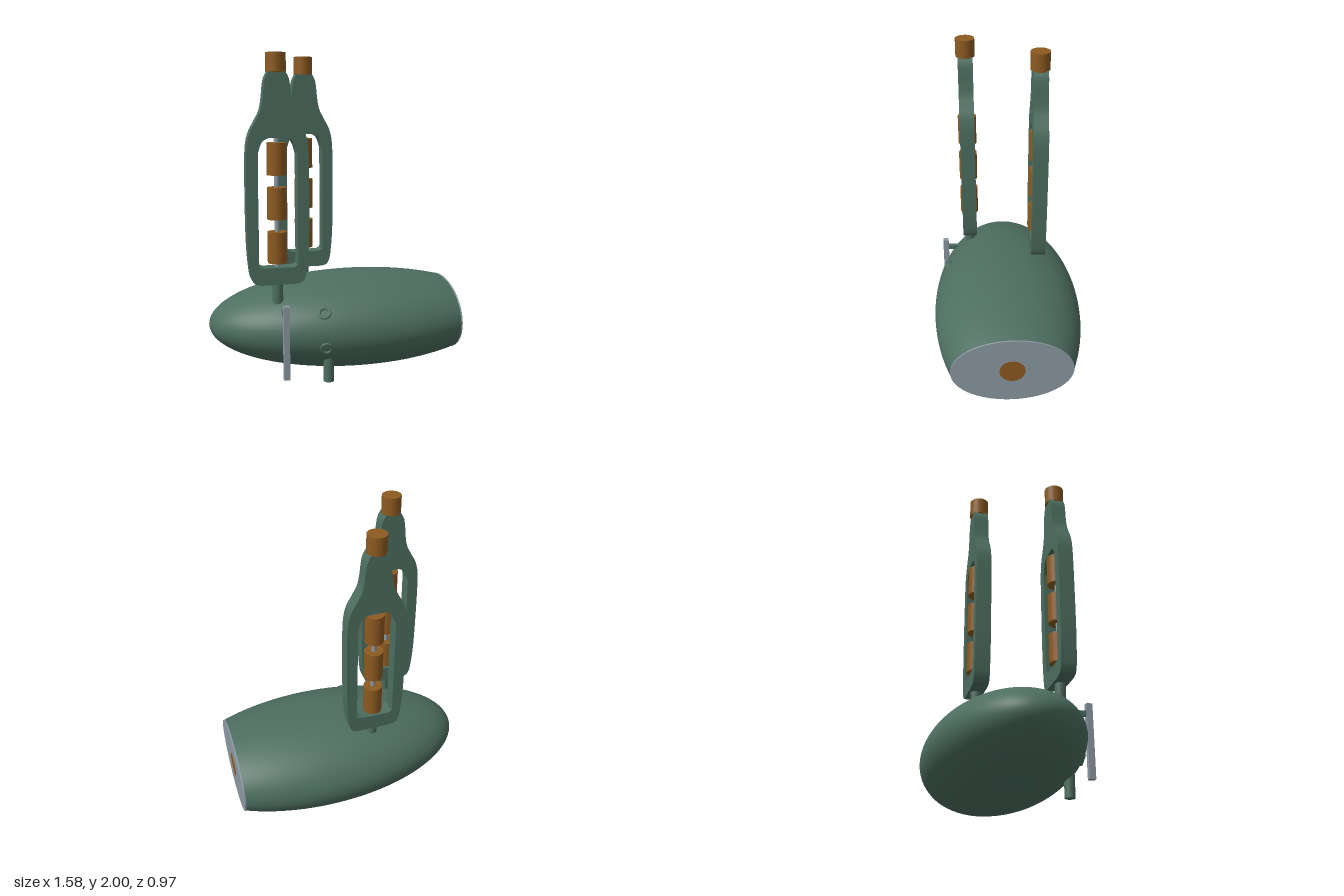
import * as THREE from 'three';
import { toCreasedNormals } from 'three/addons/utils/BufferGeometryUtils.js';

const material = (name, color) => Object.assign(new THREE.MeshStandardMaterial({ color }), { name });

export function createModel() {
  const green = material('olive green', 0x4d6e60);
  const copper = material('copper', 0x8d5a20);
  const steel = material('blue grey steel', 0x8c99a3);

  const model = new THREE.Group();
  const add = (parent, name, geometry, mat, x = 0, y = 0, z = 0) => {
    const mesh = new THREE.Mesh(geometry, mat);
    mesh.name = name;
    mesh.position.set(x, y, z);
    parent.add(mesh);
    return mesh;
  };
  // Upright cylinder between two heights
  const post = (parent, name, mat, r, y0, y1, x = 0, z = 0) =>
    add(parent, name, new THREE.CylinderGeometry(r, r, y1 - y0, 32), mat, x, (y0 + y1) / 2, z);

  // Hull: an ellipsoid lying along x, cut off at the tail and flattened below
  const CY = 0.297, FLOOR = 0.018, CX = 0.18, LEN = 0.97, RZ = 0.485, RY = 0.305, TAIL = 0.78;
  const end = Math.acos((CX - TAIL) / LEN);
  const profile = [];
  for (let i = 0; i <= 56; i++) {
    const a = (end * i) / 56;
    profile.push(new THREE.Vector2(RZ * Math.sin(a), CX - LEN * Math.cos(a)));
  }
  const hullGeometry = new THREE.LatheGeometry(profile, 96);
  hullGeometry.rotateZ(-Math.PI / 2).scale(1, RY / RZ, 1).translate(0, CY, 0);
  const pos = hullGeometry.attributes.position, nor = hullGeometry.attributes.normal;
  for (let i = 0; i < pos.count; i++) {
    if (pos.getY(i) < FLOOR) {
      pos.setY(i, FLOOR);
      nor.setXYZ(i, 0, -1, 0);
    }
  }
  add(model, 'hull', hullGeometry, green);

  // Tail plate with its round copper contact
  const tailR = RZ * Math.sin(end);
  const plate = new THREE.CylinderGeometry(tailR, tailR, 0.01, 96);
  plate.rotateZ(-Math.PI / 2).scale(1, RY / RZ, 1);
  add(model, 'tailPlate', plate, steel, TAIL + 0.005, CY, 0);
  const contact = new THREE.CylinderGeometry(0.08, 0.08, 0.008, 40);
  contact.rotateZ(-Math.PI / 2);
  add(model, 'tailContact', contact, copper, TAIL + 0.008, CY, 0);

  // Mast frame outline and window: right halves, bottom to top, then mirrored
  const outline = [[0.1, 0.605], [0.145, 0.615], [0.167, 0.65], [0.178, 0.72], [0.188, 0.86],
    [0.191, 1.1], [0.188, 1.4], [0.17, 1.52], [0.13, 1.6], [0.1, 1.66], [0.086, 1.73],
    [0.079, 1.8], [0.07, 1.85], [0.05, 1.89]];
  const opening = [[0.09, 0.71], [0.112, 0.72], [0.12, 0.745], [0.12, 1], [0.12, 1.36],
    [0.112, 1.43], [0.09, 1.48], [0.05, 1.5]];
  const mirrored = (half) => {
    const curve = new THREE.SplineCurve(half.map(([x, y]) => new THREE.Vector2(x, y)));
    const right = curve.getPoints(60);
    return [...right, ...right.map((p) => new THREE.Vector2(-p.x, p.y)).reverse()];
  };
  const frameShape = new THREE.Shape(mirrored(outline));
  frameShape.holes.push(new THREE.Path(mirrored(opening)));
  const DEPTH = 0.095;
  const frameGeometry = toCreasedNormals(
    new THREE.ExtrudeGeometry(frameShape, { depth: DEPTH, bevelEnabled: false })
      .translate(0, 0, -DEPTH / 2), 0.6);

  // Two masts, each with a rod carrying three copper cylinders
  const mast = (name, x, z) => {
    const group = new THREE.Group();
    group.name = name;
    group.position.set(x, 0, z);
    add(group, 'mastFrame', frameGeometry, green);
    post(group, 'mastStem', green, 0.033, 0.4, 0.62);
    post(group, 'mastCap', copper, 0.061, 1.885, 2);
    post(group, 'innerRod', steel, 0.015, 0.705, 1.505);
    for (const [y0, y1] of [[0.735, 0.928], [1.005, 1.2], [1.275, 1.47]]) {
      post(group, 'copperCell', copper, 0.06, y0, y1);
    }
    model.add(group);
  };
  mast('frontMast', -0.383, 0.236);
  mast('rearMast', -0.125, -0.218);

  // Upright steel bar held off the hull side by a bracket
  add(model, 'sideBar', new THREE.BoxGeometry(0.036, 0.455, 0.038), steel, -0.363, 0.275, 0.414);
  add(model, 'barBracket', new THREE.BoxGeometry(0.026, 0.03, 0.1), green, -0.363, 0.44, 0.352);

  // Drain pipe under the front side
  post(model, 'drainPipe', green, 0.033, 0, 0.28, -0.092, 0.372);

  // Ring ports lying on the curved front side
  const portX = -0.125;
  const k = 1 - ((portX - CX) / LEN) ** 2;
  for (const y of [0.44, 0.235]) {
    const dy = y - CY;
    const z = RZ * Math.sqrt(k - (dy / RY) ** 2);
    const normal = new THREE.Vector3((portX - CX) / LEN ** 2, dy / RY ** 2, z / RZ ** 2).normalize();
    const ring = add(model, 'portRing', new THREE.TorusGeometry(0.032, 0.009, 10, 32), green, portX, y, z);
    ring.quaternion.setFromUnitVectors(new THREE.Vector3(0, 0, 1), normal);
  }

  return model;
}
